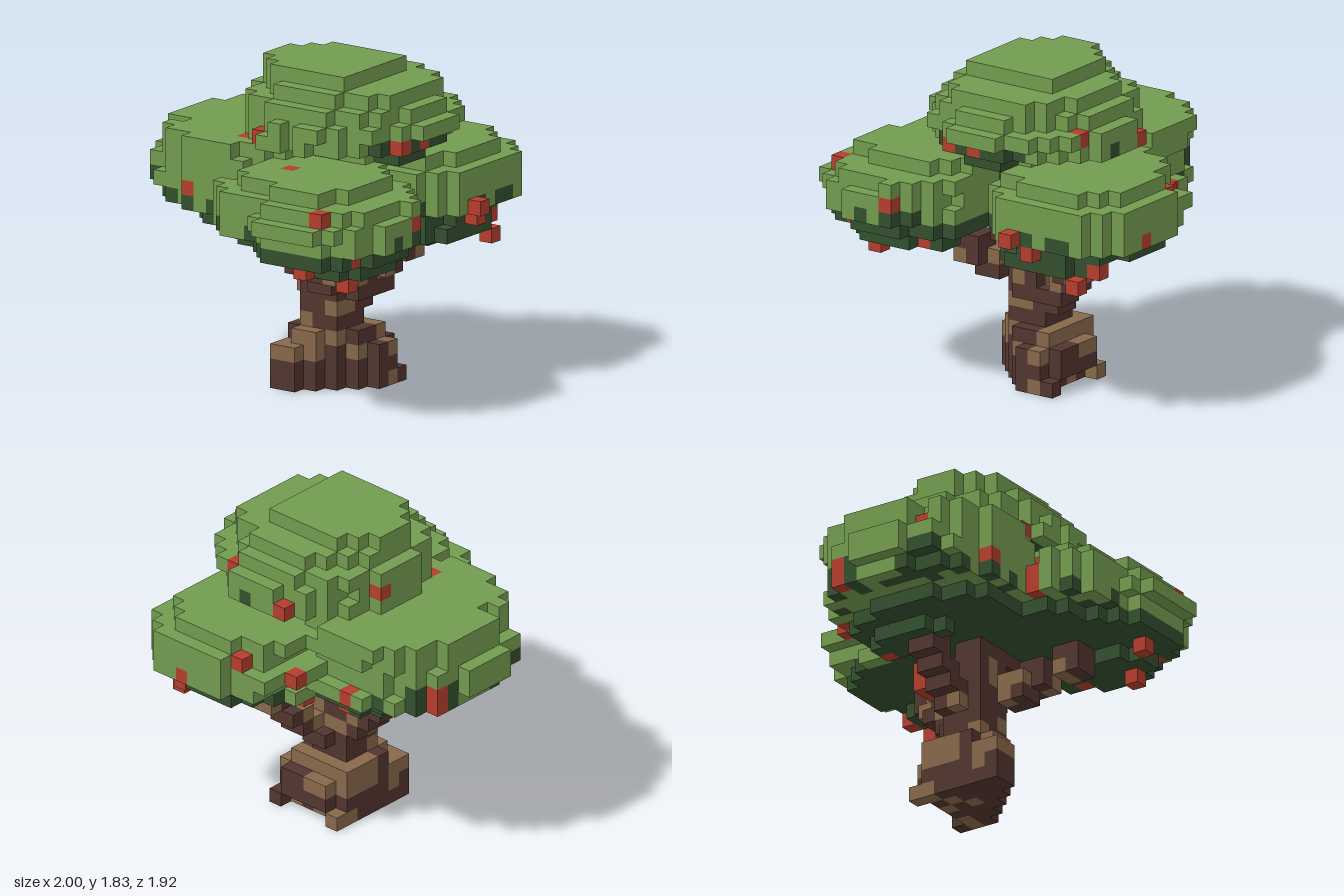
import * as THREE from 'three';

const S = 1 / 12;               // edge of one block
const X0 = -1, Z0 = -23 / 24;   // corner of the block grid

const key = (i, j, k) => i + 64 * (j + 64 * k);
const hash = (i, j, k) => {
  const s = Math.sin(i * 12.9898 + j * 78.233 + k * 37.719) * 43758.5453;
  return s - Math.floor(s);
};
const snap = (x, y, z) => [x - X0, y, z - Z0].map(v => Math.round(v / S - 0.5));
const centre = (i, j, k) => [X0 + (i + 0.5) * S, (j + 0.5) * S, Z0 + (k + 0.5) * S];

// Rows of a rounded mass: layer, x limits, z limits, squareness at the back and at the front
const crown = [
  [16, -0.17, 0.25, -0.25, 0.63, 2, 2], [17, -0.5, 0.67, -0.375, 0.71, 1.8, 1.8],
  [18, -0.5, 0.67, -0.375, 0.79, 1.65, 1.65], [19, -0.42, 0.58, -0.375, 0.71, 2, 1.8],
  [20, -0.33, 0.5, -0.29, 0.63, 2, 2.4], [21, -0.25, 0.33, -0.29, 0.375, 2, 5]];
const rightRear = [
  [11, -0.75, -0.08, -0.12, 0.71, 2, 2], [12, -0.83, -0.08, -0.2, 0.79, 3, 2.5],
  [13, -0.83, -0.08, -0.2, 0.79, 3, 2.5], [14, -0.83, -0.04, -0.2, 0.79, 3, 2.5],
  [15, -0.75, -0.08, -0.08, 0.71, 2.5, 2.5]];
const rightFront = [
  [10, -0.75, -0.17, 0.42, 0.79, 2, 2], [11, -0.92, -0.08, 0.12, 0.88, 2, 2],
  [12, -0.92, -0.08, 0.04, 0.96, 2, 1.9], [13, -1, -0.08, 0.04, 0.96, 2, 1.9],
  [14, -0.92, -0.08, 0.12, 0.88, 2, 2], [15, -0.83, -0.08, 0.2, 0.71, 2.3, 2.3]];
const leftMass = [
  [10, 0.17, 0.75, 0.42, 0.71, 2, 2], [11, 0.08, 0.92, -0.12, 0.71, 2, 2],
  [12, 0.08, 1, -0.08, 0.79, 2.8, 2.8], [13, 0.08, 1, -0.04, 0.79, 2.8, 3],
  [13, 0.08, 0.92, -0.2, 0.5, 2.8, 2.8], [14, 0.08, 1, -0.04, 0.79, 2.8, 2.8],
  [15, 0.12, 0.92, -0.12, 0.71, 2.6, 2.6]];
const backMass = [
  [10, -0.08, 0.42, -0.46, -0.2, 2, 2], [11, -0.42, 0.5, -0.62, 0.05, 2, 2],
  [12, -0.5, 0.58, -0.88, 0.2, 2, 2], [13, -0.5, 0.5, -0.96, 0.25, 2, 2],
  [14, -0.5, 0.5, -0.96, 0.25, 2, 2], [15, -0.5, 0.58, -0.88, 0.2, 2, 2],
  [16, -0.5, 0.58, -0.88, 0.1, 2, 2]];
const core = [11, 12, 13, 14, 15].map(j => [j, -0.25, 0.33, -0.35, 0.28, 2.3, 2.3]);
const roots = [
  [0, -0.25, 0.33, -0.125, 0.375, 6, 6], [1, -0.25, 0.33, -0.125, 0.375, 3, 3],
  [2, -0.25, 0.33, -0.125, 0.375, 3, 3], [3, -0.17, 0.25, -0.125, 0.29, 3, 3],
  ...[1, 2].map(j => [j, -0.25, 0.04, -0.125, 0.04, 6, 6])];

function fillRows(rows, rough, put) {
  for (const [j, xa, xb, za, zb, back, front] of rows)
    for (let i = 0; i < 24; i++)
      for (let k = 0; k < 23; k++) {
        const [x, , z] = centre(i, j, k);
        const u = Math.abs((2 * x - xa - xb) / (xb - xa));
        const v = (2 * z - za - zb) / (zb - za);
        const power = v > 0 ? front : back;
        if (u > 1 || Math.abs(v) > 1) continue;
        if (u ** power + Math.abs(v) ** power < 1 + (hash(i, j, k) - 0.5) * rough) put(i, j, k);
      }
}

// Exposed block faces: outward normal and two edge directions
const SIDES = [0, 1, 2].flatMap(a => [1, -1].map(s => {
  const n = [0, 0, 0], u = [0, 0, 0], v = [0, 0, 0];
  n[a] = s; u[(a + 1) % 3] = s; v[(a + 2) % 3] = 1;
  return { n, u, v };
}));

function blockGeometry(cells, occupied) {
  const pos = [], nor = [], idx = [];
  for (const [i, j, k] of cells) {
    const c = centre(i, j, k);
    for (const { n, u, v } of SIDES) {
      if (occupied.has(key(i + n[0], j + n[1], k + n[2]))) continue;
      const b = pos.length / 3;
      for (const [p, q] of [[-1, -1], [1, -1], [1, 1], [-1, 1]]) {
        for (let d = 0; d < 3; d++) pos.push(c[d] + (n[d] + p * u[d] + q * v[d]) * S / 2);
        nor.push(...n);
      }
      idx.push(b, b + 1, b + 2, b, b + 2, b + 3);
    }
  }
  const g = new THREE.BufferGeometry();
  g.setAttribute('position', new THREE.Float32BufferAttribute(pos, 3));
  g.setAttribute('normal', new THREE.Float32BufferAttribute(nor, 3));
  g.setIndex(idx);
  return g;
}

export function createModel() {
  const blocks = new Map();
  const put = kind => (i, j, k) => blocks.set(key(i, j, k), { cell: [i, j, k], kind });
  const at = (i, j, k) => blocks.get(key(i, j, k));

  // Foliage masses
  const leaf = put('leaf');
  fillRows(crown, 0.04, leaf);
  for (const mass of [rightRear, rightFront, leftMass]) fillRows(mass, 0.15, leaf);
  fillRows(backMass, 0.08, leaf);
  fillRows(core, 0, leaf);

  // Root flare, cut away diagonally at the front right and hollowed at the left
  const wood = put('wood');
  fillRows(roots, 0.2, (i, j, k) => {
    const [x, , z] = centre(i, j, k);
    const hollow = j === 0 && x > 0.25 && Math.abs(z - 0.125) < 0.16;
    if (x - z > -0.27 && !hollow) wood(i, j, k);
  });

  // Trunk column
  for (let j = 0; j < 13; j++)
    for (const x of [-0.04, 0.04, 0.125])
      for (const z of [0, 0.083, 0.167])
        if (j < 10 || x < 0.1) wood(...snap(x, (j + 0.5) * S, z));

  // Branches: stepped outward one layer at a time, two blocks wide
  const branch = (points, dx, dz) => {
    for (const [x, j, z] of points)
      for (let a = 0; a < 2; a++)
        for (let b = 0; b < 2; b++) {
          const [i, , k] = snap(x, 0, z);
          wood(i + a * dx, j, k + b * dz);
        }
  };
  branch([[0.21, 5, 0.083], [0.29, 6, 0.167], [0.375, 7, 0.167], [0.46, 8, 0.25], [0.54, 9, 0.333], [0.54, 10, 0.333]], -1, 1);
  branch([[-0.21, 7, 0.25], [-0.29, 8, 0.333], [-0.46, 9, 0.417], [-0.46, 10, 0.417]], 1, -1);
  branch([[-0.125, 8, 0.167], [-0.21, 9, 0.25]], -1, 1);
  branch([[0.125, 6, 0.25], [0.125, 7, 0.25]], -1, -1);
  branch([[0.04, 10, 0.333], [0.04, 11, 0.333], [0.04, 12, 0.333]], -1, -1);
  branch([[0.04, 6, -0.083], [0.04, 7, -0.167], [0.04, 8, -0.25], [0.04, 9, -0.333], [0.04, 10, -0.333]], 1, 1);

  // Shaded leaves beneath, and weathered bark on the roots and branches
  const leafChance = (j, x, z, open) => {
    const front = z > 0.45 && x > -0.26 && x < 0.34;
    if (j < 12) return 1;
    if (j < 14 && z < -0.7) return 0.5;
    if (Math.abs(x) < 0.09 && z > 0.2 && j < 15) return 1;
    if (!open) return 0;
    if (j === 12) return z > 0.4 ? 0.6 : 0.2;
    if (j === 17) return front ? 1 : z < 0.3 ? 0.3 : 0;
    return j === 16 ? 1 : 0;
  };
  const paleChance = (j, x, z) => {
    const middle = x > -0.09 && x < 0.17;
    if (j === 0) return x > 0.16 && (z > 0.28 || z < 0) ? 0.9 : 0.1;
    if (j === 1) return 0.05;
    if (j < 4) return middle && (z > 0.1 || x < 0) ? 0.4 : 0.85;
    return middle ? 0.2 : 0.4;
  };
  for (const b of blocks.values()) {
    const [i, j, k] = b.cell, h = hash(k, i, j), [x, , z] = centre(i, j, k);
    if (b.kind === 'wood') {
      if (h < paleChance(j, x, z)) b.kind = 'paleWood';
    } else if ((j < 11 || at(i, j + 1, k)) && h < leafChance(j, x, z, !at(i, j - 1, k))) b.kind = 'shade';
  }

  // Fruit on the sides and underneath
  const fruit = put('fruit');
  const fruits = [
    [-0.125, 1.46, 0.667], [0.04, 1.46, 0.667], [0.625, 1.46, 0], [0.21, 1.54, -0.333],
    [-0.375, 1.46, -0.083], [-0.29, 1.375, -0.25], [-0.375, 1.125, 0.917], [0.375, 1.04, 0.833],
    [0.46, 0.96, 0.75], [0.96, 1.04, 0.417], [0.71, 1.125, -0.167], [0.54, 1.04, -0.417],
    [0.29, 1.125, -0.833], [0.29, 1.04, -0.833], [-0.46, 1.125, -0.5], [-0.54, 1.04, -0.167],
    [-0.54, 1.125, -0.083], [-0.71, 0.96, 0.75], [-0.625, 0.96, 0.75], [-0.79, 0.875, 0.5],
    [-0.625, 0.79, 0.667], [-0.29, 0.875, 0.667], [0.125, 0.96, 0.417], [0.79, 0.875, 0.583],
    [0.71, 0.79, 0.667], [0.21, 0.79, 0.167], [0.29, 0.79, 0.167], [0.375, 0.79, 0.167],
    [0.375, 0.79, 0.083], [0.375, 0.875, 0.083], [0.375, 0.875, 0.167], [0.375, 0.875, -0.25]];
  for (const f of fruits) fruit(...snap(...f));

  // Fruit open to the sky
  const topFruits = [
    [-0.21, 1.29, -0.75], [-0.54, 1.125, -0.167], [-0.54, 1.21, -0.083], [-0.46, 1.21, -0.083],
    [-0.46, 1.29, 0.167], [0.875, 1.21, 0.083], [0.54, 1.54, 0.417], [-0.875, 1.21, 0.667]];
  for (const f of topFruits) {
    const [i, j, k] = snap(...f);
    fruit(i, j, k);
    for (let y = j + 1; y < 22; y++) blocks.delete(key(i, y, k));
  }
  // One leaf shelters the fruit on the front of the right mass
  leaf(...snap(-0.375, 1.21, 0.917));

  // One mesh for each kind of block
  const palette = {
    leaf: ['foliage', 'leafGreen', 0x729b4f], shade: ['foliageUnderside', 'deepGreen', 0x334f2e],
    wood: ['trunk', 'darkBark', 0x51352f], paleWood: ['weatheredBark', 'paleBark', 0x87684b],
    fruit: ['fruit', 'fruitRed', 0xb43d2e],
  };
  const tree = new THREE.Group();
  tree.name = 'tree';
  for (const [kind, [part, colourName, color]] of Object.entries(palette)) {
    const cells = [...blocks.values()].filter(b => b.kind === kind).map(b => b.cell);
    const material = new THREE.MeshStandardMaterial({ color });
    material.name = colourName;
    const mesh = new THREE.Mesh(blockGeometry(cells, blocks), material);
    mesh.name = part;
    tree.add(mesh);
  }
  return tree;
}
